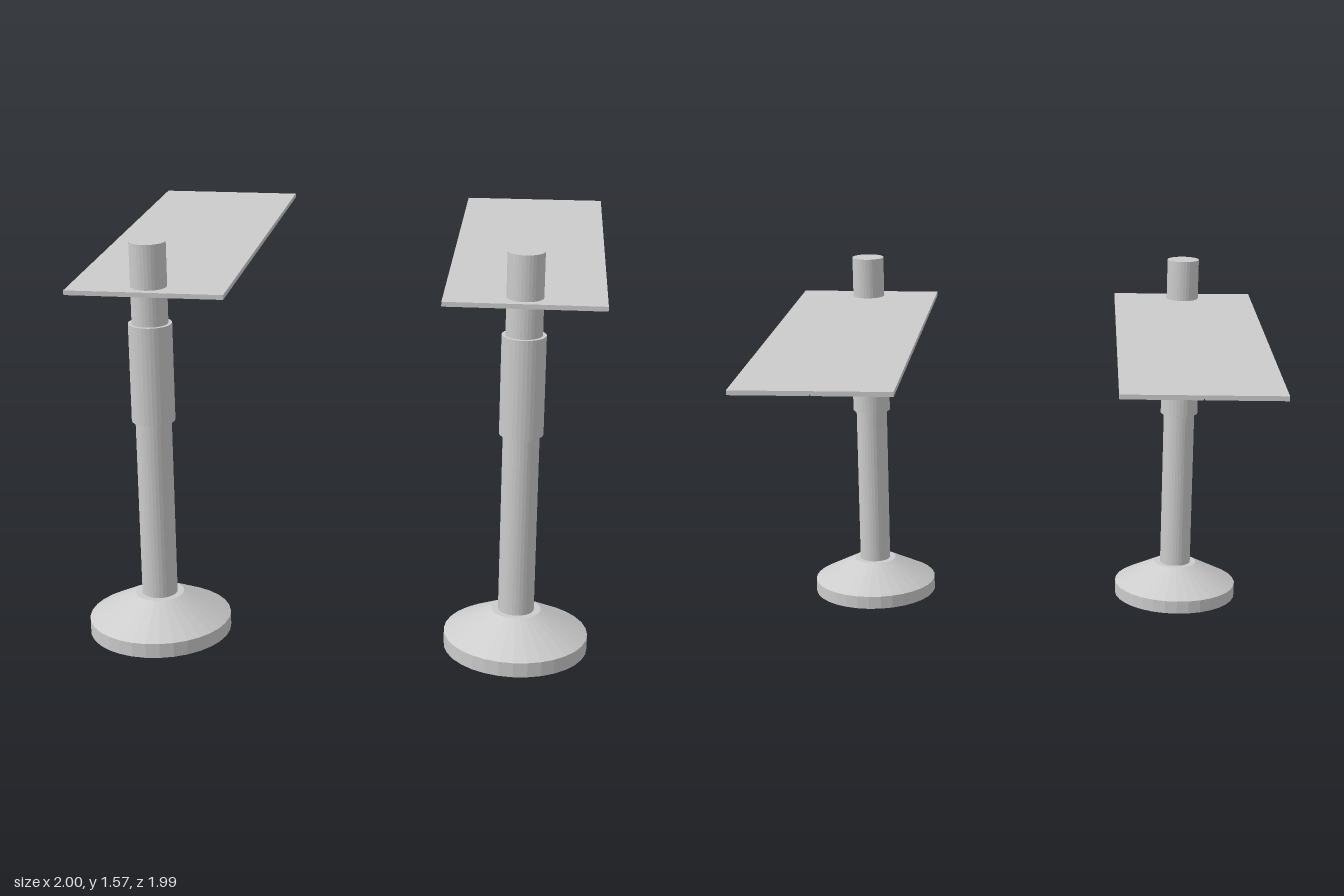
import * as THREE from 'three';

const material = new THREE.MeshStandardMaterial({ color: 0xcccccc, flatShading: true });
const SIDES = 32;

function add(parent, name, geometry, y = 0) {
  const mesh = new THREE.Mesh(geometry, material);
  mesh.name = name;
  mesh.position.y = y;
  parent.add(mesh);
}

// Upright cylinder spanning y0 to y1
function tube(parent, name, radius, y0, y1) {
  add(parent, name, new THREE.CylinderGeometry(radius, radius, y1 - y0, SIDES), (y0 + y1) / 2);
}

function createStand(name, x) {
  const stand = new THREE.Group();
  stand.name = name;
  stand.position.set(x, 0, 0.717);

  // Weighted foot: short rim with a conical top
  const foot = [[0, 0], [0.277, 0], [0.277, 0.058], [0.095, 0.155], [0, 0.155]];
  add(stand, 'base', new THREE.LatheGeometry(foot.map(([r, y]) => new THREE.Vector2(r, y)), SIDES));

  // Post and its wider collar
  tube(stand, 'post', 0.069, 0.15, 1.57);
  tube(stand, 'sleeve', 0.083, 0.87, 1.255);

  // Long thin panel with a hairline groove along its underside
  const section = [
    [-0.3, 0], [-0.003, 0], [0, 0.008], [0.003, 0], [0.3, 0], [0.3, 0.018], [-0.3, 0.018],
  ];
  const panel = new THREE.ExtrudeGeometry(
    new THREE.Shape(section.map(([px, py]) => new THREE.Vector2(px, py))),
    { depth: 1.815, bevelEnabled: false },
  );
  panel.translate(0, 0, -1.717);
  add(stand, 'panel', panel, 1.379);
  return stand;
}

export function createModel() {
  const model = new THREE.Group();
  model.name = 'panelStands';
  model.add(createStand('leftStand', 0.7), createStand('rightStand', -0.7));
  return model;
}
